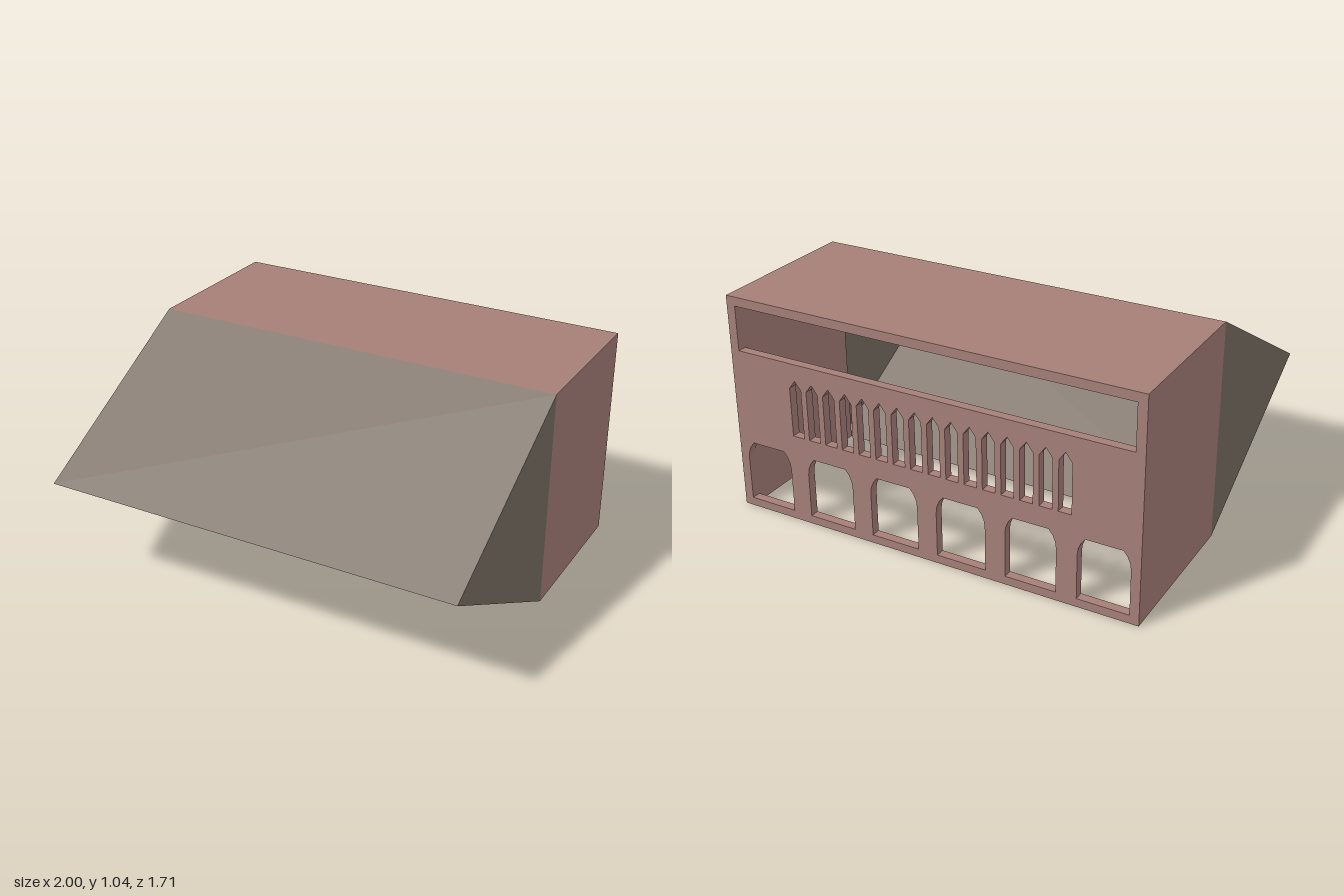
import * as THREE from 'three';

const H = 1.04, BACK = -0.855, FOLD = -0.08, TIP = 0.855, WALL = 0.043;

function polygon(points) {
  return new THREE.Path(points.map(([x, y]) => new THREE.Vector2(x, y)));
}

// Opening with rounded shoulders and a flat head
function archHole(cx, w, bottom, spring) {
  const r = w / 2;
  const pts = [[cx - r, bottom], [cx + r, bottom]];
  for (let i = 0; i <= 3; i++) {
    const a = (i / 3) * Math.PI / 4;
    pts.push([cx + r * Math.cos(a), spring + r * Math.sin(a)]);
  }
  for (let i = 3; i >= 0; i--) {
    const a = (i / 3) * Math.PI / 4;
    pts.push([cx - r * Math.cos(a), spring + r * Math.sin(a)]);
  }
  return polygon(pts);
}

export function createModel() {
  const group = new THREE.Group();
  const brick = new THREE.MeshStandardMaterial({ color: 0xa67f78 });
  brick.name = 'dusty pink';
  const slate = new THREE.MeshStandardMaterial({ color: 0x7b6f64, side: THREE.DoubleSide });
  slate.name = 'grey brown';

  const add = (name, geometry, material, x = 0, y = 0, z = 0) => {
    const mesh = new THREE.Mesh(geometry, material);
    mesh.name = name;
    mesh.position.set(x, y, z);
    group.add(mesh);
  };

  // Rear facade with long slot, pointed windows and arches
  const inner = 1 - WALL;
  const facade = new THREE.Shape([
    new THREE.Vector2(-1, 0), new THREE.Vector2(1, 0),
    new THREE.Vector2(1, H), new THREE.Vector2(-1, H),
  ]);
  facade.holes.push(polygon([[-inner, 0.785], [inner, 0.785], [inner, H - WALL], [-inner, H - WALL]]));
  for (let i = 0; i < 16; i++) {
    const x = (i - 7.5) * 0.088, w = 0.03;
    facade.holes.push(polygon([[x - w, 0.43], [x + w, 0.43], [x + w, 0.665], [x, 0.705], [x - w, 0.665]]));
  }
  for (let i = 0; i < 6; i++) {
    facade.holes.push(archHole((i - 2.5) * 0.335, 0.239, 0.04, 0.25));
  }
  add('facade', new THREE.ExtrudeGeometry(facade, { depth: WALL, bevelEnabled: false }), brick, 0, 0, BACK);

  // Roof and side walls of the hall, open underneath and in front
  const depth = FOLD - BACK - WALL, midZ = BACK + WALL + depth / 2;
  add('roof', new THREE.BoxGeometry(2, WALL, depth), brick, 0, H - WALL / 2, midZ);
  for (const [name, s] of [['leftWall', 1], ['rightWall', -1]]) {
    add(name, new THREE.BoxGeometry(WALL, H - WALL, depth), brick, s * (1 - WALL / 2), (H - WALL) / 2, midZ);
  }

  // Hollow wedge: two slopes and two triangular cheeks
  const face = (corners) => {
    const g = new THREE.BufferGeometry();
    g.setAttribute('position', new THREE.Float32BufferAttribute(corners.flat(), 3));
    g.setIndex(corners.length === 4 ? [0, 1, 2, 0, 2, 3] : [0, 1, 2]);
    g.computeVertexNormals();
    return g;
  };
  const top = (x) => [x, H, FOLD], tip = (x) => [x, H / 2, TIP], low = (x) => [x, 0, FOLD];
  add('upperSlope', face([tip(-1), tip(1), top(1), top(-1)]), slate);
  add('lowerSlope', face([low(-1), low(1), tip(1), tip(-1)]), slate);
  add('leftCheek', face([tip(1), low(1), top(1)]), slate);
  add('rightCheek', face([tip(-1), top(-1), low(-1)]), slate);

  return group;
}
